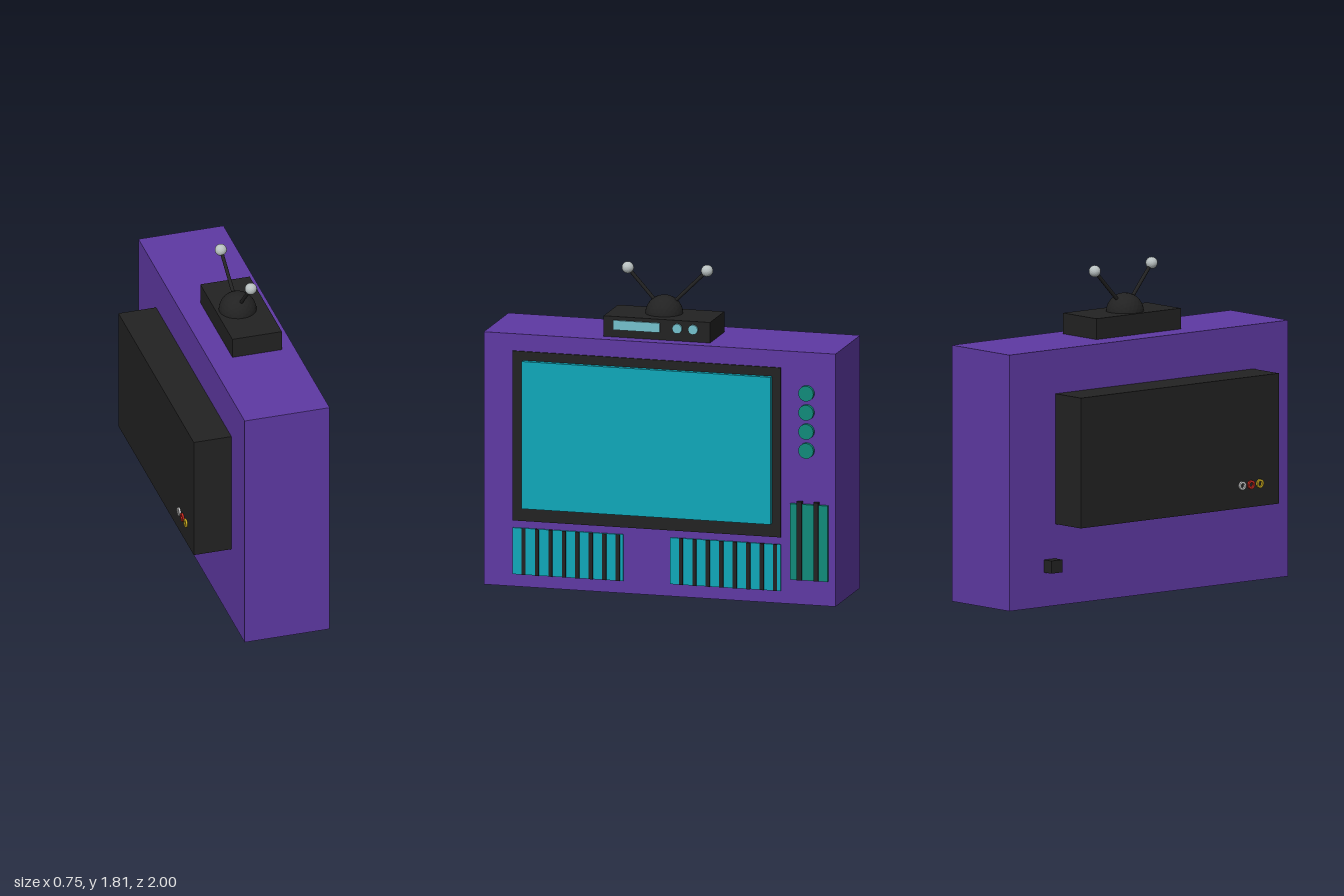
import * as THREE from 'three';

const mat = (color, extra = {}) => new THREE.MeshStandardMaterial({ color, ...extra });

export function createModel() {
  const tv = new THREE.Group();
  const purple = mat(0x5e39a3), black = mat(0x222222), cyan = mat(0x0fa8ba);
  const green = mat(0x108a7a), paleBlue = mat(0x74c0cc);
  const facetedBlack = mat(0x222222, { flatShading: true });
  const facetedGrey = mat(0xb8c0c0, { flatShading: true });

  const add = (name, geometry, material, x, y, z) => {
    const mesh = new THREE.Mesh(geometry, material);
    mesh.name = name;
    mesh.position.set(x, y, z);
    tv.add(mesh);
    return mesh;
  };
  // Box given by its limits on each axis
  const box = (name, material, x0, x1, y0, y1, z0, z1) =>
    add(name, new THREE.BoxGeometry(x1 - x0, y1 - y0, z1 - z0), material,
      (x0 + x1) / 2, (y0 + y1) / 2, (z0 + z1) / 2);
  // Disc whose axis runs along x
  const disc = (name, material, r, x0, x1, y, z) => {
    const g = new THREE.CylinderGeometry(r, r, x1 - x0, 24).rotateZ(-Math.PI / 2);
    return add(name, g, material, (x0 + x1) / 2, y, z);
  };

  // Cabinet, bezel and screen
  box('cabinet', purple, -0.15, 0.335, 0, 1.415, -1, 1);
  box('screenFrame', black, 0.32, 0.343, 0.37, 1.32, -0.69, 0.835);
  box('screen', cyan, 0.33, 0.372, 0.445, 1.27, -0.64, 0.775);

  // Two speaker grilles with dark slats
  for (const z0 of [0.205, -0.69]) {
    box('speakerPanel', cyan, 0.32, 0.345, 0.07, 0.33, z0, z0 + 0.63);
    for (let i = 0; i < 8; i++) {
      const z = z0 + 0.03 + i * 0.0765;
      box('speakerSlat', black, 0.32, 0.352, 0.07, 0.33, z - 0.011, z + 0.011);
    }
  }

  // Control panel and knobs
  box('controlPanel', green, 0.32, 0.354, 0.14, 0.565, -0.96, -0.745);
  for (const z of [-0.8, -0.895])
    box('controlSlat', black, 0.32, 0.362, 0.14, 0.58, z - 0.014, z + 0.014);
  for (let i = 0; i < 4; i++) disc('knob', green, 0.043, 0.32, 0.358, 1.187 - i * 0.107, -0.837);

  // Rear housing, sockets and power block
  box('rearHousing', black, -0.365, -0.14, 0.45, 1.17, -0.67, 0.75);
  [0xcccccc, 0xd02a20, 0xd0b020].forEach((color, i) => {
    const z = 0.485 + i * 0.063;
    const ring = new THREE.Shape().absarc(0, 0, 0.024, 0, Math.PI * 2);
    ring.holes.push(new THREE.Path().absarc(0, 0, 0.013, 0, Math.PI * 2, true));
    const g = new THREE.ExtrudeGeometry(ring, { depth: 0.015, bevelEnabled: false, curveSegments: 12 });
    add('socketRing', g.rotateY(-Math.PI / 2), mat(color), -0.36, 0.575, z);
  });
  box('powerBlock', black, -0.21, -0.14, 0.19, 0.26, -0.75, -0.67);

  // Receiver box on top
  box('receiver', black, -0.02, 0.262, 1.41, 1.53, -0.265, 0.34);
  box('receiverDisplay', paleBlue, 0.25, 0.272, 1.457, 1.51, 0.02, 0.285);
  for (const z of [-0.08, -0.17]) disc('receiverButton', paleBlue, 0.027, 0.25, 0.274, 1.485, z);

  // Antenna dome, rods and tips
  add('antennaDome', new THREE.IcosahedronGeometry(0.104, 4), facetedBlack, 0.1, 1.527, 0.042);
  const base = new THREE.Vector3(0.1, 1.54, 0.042);
  for (const tip of [new THREE.Vector3(0.114, 1.775, 0.245), new THREE.Vector3(0.076, 1.775, -0.195)]) {
    const dir = tip.clone().sub(base);
    const mid = base.clone().add(tip).multiplyScalar(0.5);
    const rod = add('antennaRod', new THREE.CylinderGeometry(0.01, 0.01, dir.length(), 12), black, mid.x, mid.y, mid.z);
    rod.quaternion.setFromUnitVectors(new THREE.Vector3(0, 1, 0), dir.normalize());
    add('antennaTip', new THREE.IcosahedronGeometry(0.033, 3), facetedGrey, tip.x, tip.y, tip.z);
  }
  return tv;
}
